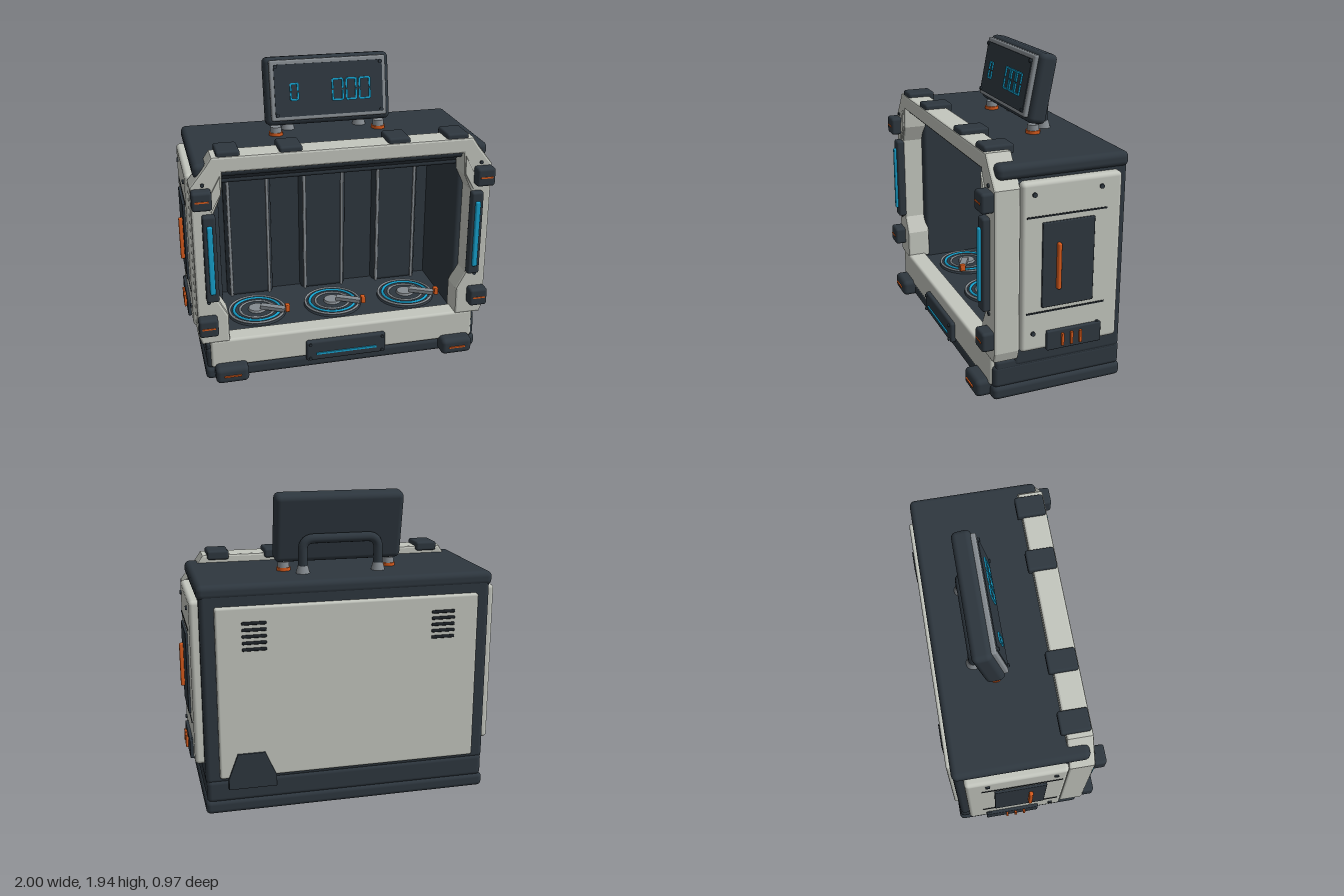
import * as THREE from 'three';
import { RoundedBoxGeometry } from 'three/addons/geometries/RoundedBoxGeometry.js';

const mat = (name, color, extra = {}) => Object.assign(new THREE.MeshStandardMaterial({ color, ...extra }), { name });

export function createModel() {
  const root = new THREE.Group();
  root.name = 'dispenserCabinet';
  const dark = mat('darkCasing', 0x2e373f);
  const light = mat('palePanel', 0xc3c6be);
  const black = mat('blackTrim', 0x1b2025);
  const metal = mat('greyMetal', 0x858b90);
  const teal = mat('tealLight', 0x16a0cc);
  const orange = mat('orangeAccent', 0xd65a1c);

  const add = (name, geo, m, x = 0, y = 0, z = 0, parent = root) => {
    const mesh = new THREE.Mesh(geo, m);
    mesh.name = name;
    mesh.position.set(x, y, z);
    parent.add(mesh);
    return mesh;
  };
  // Box given by its limits; r > 0 rounds the edges
  const span = (name, m, [x0, x1], [y0, y1], [z0, z1], r = 0, parent = root) => {
    const w = x1 - x0, h = y1 - y0, d = z1 - z0;
    const geo = r ? new RoundedBoxGeometry(w, h, d, 3, r) : new THREE.BoxGeometry(w, h, d);
    return add(name, geo, m, (x0 + x1) / 2, (y0 + y1) / 2, (z0 + z1) / 2, parent);
  };
  // Same box on one side: x limits are measured outward from the centre
  const side = (s, name, m, [a, b], y, z, r = 0) => span(name, m, s > 0 ? [a, b] : [-b, -a], y, z, r);
  const shapeOf = pts => new THREE.Shape(pts.map(p => new THREE.Vector2(...p)));
  const plate = (name, pts, depth, bevel, m, z) => add(name, new THREE.ExtrudeGeometry(shapeOf(pts), {
    depth: depth - 2 * bevel, bevelEnabled: bevel > 0, bevelSize: bevel, bevelOffset: -bevel,
    bevelThickness: bevel, bevelSegments: 2,
  }), m, 0, 0, z + bevel);
  // Screw with its head along x or z
  const screw = (x, y, z, axis, parent = root, r = 0.014) => {
    const s = add('screw', new THREE.CylinderGeometry(r, r, 0.016, 12), dark, x, y, z, parent);
    if (axis === 'x') s.rotation.z = Math.PI / 2; else s.rotation.x = Math.PI / 2;
  };

  // Base and hollow casing
  span('basePlinth', dark, [-0.91, 0.91], [0, 0.09], [-0.455, 0.39], 0.03);
  span('baseBody', dark, [-0.9, 0.9], [0.075, 0.225], [-0.45, 0.385], 0.03);
  span('cavityFloor', dark, [-0.9, 0.9], [0.19, 0.255], [-0.44, 0.37], 0.02);
  span('backWall', dark, [-0.905, 0.905], [0.2, 1.42], [-0.445, -0.3], 0.03);
  span('roof', dark, [-0.92, 0.92], [1.36, 1.45], [-0.45, 0.37], 0.035);
  span('ceiling', dark, [-0.9, 0.9], [1.275, 1.4], [-0.44, 0.24], 0.02);
  const visor = add('visor', new THREE.ExtrudeGeometry(
    shapeOf([[-0.2, 1.275], [-0.36, 1.4], [-0.2, 1.41]].reverse()), { depth: 1.56, bevelEnabled: false }), dark, -0.78);
  visor.rotation.y = Math.PI / 2;

  // Pale front frame with chamfered corners
  const half = [[0.81, 1.5], [0.85, 1.44], [0.945, 1.32], [0.945, 0.33], [0.925, 0.27], [0.75, 0.27], [0.75, 0.46],
    [0.81, 0.57], [0.81, 1.15], [0.76, 1.26], [0.75, 1.4]];
  plate('frontFrame', [...half, ...half.map(([x, y]) => [-x, y]).reverse()].reverse(), 0.16, 0.014, light, 0.24);
  span('frontSill', light, [-0.875, 0.875], [0.09, 0.285], [0.27, 0.4], 0.018);

  // Sill badge
  span('sillBadge', dark, [-0.265, 0.265], [0.07, 0.21], [0.39, 0.43], 0.015);
  span('sillBadgeLight', teal, [-0.2, 0.2], [0.115, 0.128], [0.42, 0.438]);
  for (const x of [-0.24, 0.24]) for (const y of [0.09, 0.19]) screw(x, y, 0.432, 'z', root, 0.01);

  // Clips over the top of the frame
  for (const x of [-0.71, -0.335, 0.335, 0.71])
    span('topClip', dark, [x - 0.07, x + 0.07], [1.47, 1.53], [0.21, 0.392], 0.015);

  for (const s of [-1, 1]) {
    // Side wall and pale side panel
    side(s, 'sideWall', dark, [0.765, 0.905], [0.2, 1.4], [-0.445, 0.26], 0.03);
    side(s, 'roofProng', dark, [0.84, 0.915], [1.29, 1.365], [0.2, 0.36], 0.03);
    side(s, 'sidePanel', light, [0.87, 0.96], [0.315, 1.35], [-0.385, 0.24], 0.025);
    side(s, 'sidePlate', dark, [0.95, 0.975], [0.59, 1.11], [-0.21, 0.115], 0.006);
    side(s, 'sideHandleBar', orange, [0.965, 1], [0.7, 0.985], [0.005, 0.03], 0.01);
    for (const y of [0.56, 1.147]) side(s, 'panelSeam', black, [0.955, 0.964], [y - 0.005, y + 0.005], [-0.29, 0.21]);
    side(s, 'sideVentBox', dark, [0.95, 0.98], [0.31, 0.435], [-0.27, 0.082], 0.008);
    for (const z of [-0.13, -0.073, -0.015])
      side(s, 'sideVentBar', orange, [0.97, 0.995], [0.335, 0.412], [z - 0.007, z + 0.007]);
    for (const z of [0.165, -0.25]) for (const y of [0.43, 1.28]) screw(s * 0.962, y, z, 'x');

    // Frame corner gussets, corner blocks and light strips
    plate('cornerGusset', [[0.765, 1.385], [0.765, 1.27], [0.825, 1.16], [0.865, 1.2]]
      .map(([x, y]) => [s * x, y]), 0.014, 0.004, light, 0.395);
    for (const y of [0.415, 1.255]) {
      side(s, 'cornerBlock', dark, [0.823, 0.943], [y - 0.06, y + 0.06], [0.39, 0.472], 0.018);
      side(s, 'cornerBlockMark', orange, [0.843, 0.925], [y - 0.005, y + 0.005], [0.467, 0.475]);
    }
    side(s, 'stripHousing', dark, [0.805, 0.885], [0.58, 1.15], [0.39, 0.445], 0.015);
    side(s, 'stripLight', teal, [0.828, 0.862], [0.64, 1.09], [0.43, 0.462], 0.01);
    for (const y of [0.563, 1.335]) screw(s * 0.87, y, 0.4, 'z', root, 0.012);
    // Front feet
    side(s, 'frontFoot', dark, [0.645, 0.855], [0.01, 0.12], [0.3, 0.478], 0.03);
    side(s, 'frontFootMark', orange, [0.695, 0.805], [0.06, 0.07], [0.472, 0.486]);
  }

  // Three bays: back column, ceiling light and floor pad
  for (const x of [-0.52, 0, 0.52]) {
    span('bayColumn', dark, [x - 0.16, x + 0.16], [0.24, 1.18], [-0.34, -0.24], 0.035);
    for (const dx of [-0.132, 0.132])
      span('columnRail', metal, [x + dx - 0.01, x + dx + 0.01], [0.25, 1.11], [-0.25, -0.228], 0.008);
    span('ceilingLightHousing', black, [x - 0.155, x + 0.155], [1.25, 1.28], [-0.03, 0.03], 0.01);
    span('ceilingLight', teal, [x - 0.13, x + 0.13], [1.243, 1.251], [-0.02, 0.031]);
    const pad = new THREE.Group();
    pad.name = 'bayPad';
    pad.position.set(x, 0.255, 0.03);
    root.add(pad);
    add('padDisc', new THREE.CylinderGeometry(0.18, 0.195, 0.02, 40), dark, 0, 0.01, 0, pad);
    for (const [name, r, t, m] of [['padRim', 0.185, 0.008, metal], ['padLight', 0.155, 0.01, teal], ['padInnerRing', 0.115, 0.008, metal]])
      add(name, new THREE.TorusGeometry(r, t, 8, 40), m, 0, 0.02, 0, pad).rotation.x = Math.PI / 2;
    add('padHub', new THREE.CylinderGeometry(0.055, 0.065, 0.025, 24), metal, 0, 0.022, 0, pad);
    const arm = add('padArm', new THREE.BoxGeometry(0.17, 0.025, 0.045), metal, 0.1, 0.05, 0.06, pad);
    arm.rotation.y = -0.5;
    span('padTab', orange, [0.175, 0.205], [0.035, 0.085], [0.08, 0.12], 0.006, pad);
  }

  // Back panel, vents and lower cover
  span('backPanel', light, [-0.82, 0.82], [0.24, 1.32], [-0.475, -0.42], 0.015);
  for (const x of [-0.59, 0.59]) for (let i = 0; i < 5; i++)
    span('ventSlot', black, [x - 0.075, x + 0.075], [1.05 + i * 0.04, 1.07 + i * 0.04], [-0.484, -0.46], 0.008);
  plate('backCover', [[0.47, 0.17], [0.77, 0.17], [0.77, 0.24], [0.71, 0.4], [0.54, 0.4], [0.47, 0.24]], 0.04, 0.005, dark, -0.487);

  // Tilted display
  const display = new THREE.Group();
  display.name = 'display';
  display.position.set(0, 1.725, -0.14);
  display.rotation.x = -0.19;
  root.add(display);
  span('displayCase', dark, [-0.405, 0.405], [-0.215, 0.215], [-0.06, 0.06], 0.035, display);
  span('displayBezel', metal, [-0.375, 0.375], [-0.185, 0.195], [0.04, 0.085], 0.012, display);
  span('displayScreen', dark, [-0.35, 0.35], [-0.16, 0.168], [0.08, 0.091], 0, display);
  for (const x of [-0.338, 0.338]) for (const y of [-0.148, 0.156]) screw(x, y, 0.092, 'z', display, 0.012);
  // Readout cells drawn with thin bars
  for (const [x, w, h] of [[-0.225, 0.046, 0.1], [0.055, 0.066, 0.13], [0.143, 0.062, 0.13], [0.23, 0.066, 0.13]]) {
    const t = 0.006, z = [0.091, 0.1], y = -0.005;
    for (const k of [-1, 1]) {
      const cx = x + k * w / 2, cy = y + k * h / 2;
      span('readoutBar', teal, [cx - t, cx + t], [y - h / 2, y - 0.004], z, 0, display);
      span('readoutBar', teal, [cx - t, cx + t], [y + 0.004, y + h / 2], z, 0, display);
      span('readoutBar', teal, [x - w / 2, x + w / 2], [cy - t, cy + t], z, 0, display);
    }
  }

  // Display mounts and rear handle feet
  for (const s of [-1, 1]) {
    add('displayMount', new THREE.CylinderGeometry(0.035, 0.04, 0.06, 16), metal, s * 0.34, 1.475, -0.1);
    add('displayMountRing', new THREE.CylinderGeometry(0.045, 0.045, 0.02, 16), orange, s * 0.34, 1.46, -0.1);
    add('handleFoot', new THREE.CylinderGeometry(0.032, 0.045, 0.05, 16), metal, s * 0.24, 1.472, -0.215);
  }
  // Carry handle with rounded corners
  const v = (x, y) => new THREE.Vector3(x, y, -0.215);
  const path = new THREE.CurvePath();
  path.add(new THREE.LineCurve3(v(-0.24, 1.46), v(-0.24, 1.59)));
  path.add(new THREE.QuadraticBezierCurve3(v(-0.24, 1.59), v(-0.24, 1.66), v(-0.17, 1.66)));
  path.add(new THREE.LineCurve3(v(-0.17, 1.66), v(0.17, 1.66)));
  path.add(new THREE.QuadraticBezierCurve3(v(0.17, 1.66), v(0.24, 1.66), v(0.24, 1.59)));
  path.add(new THREE.LineCurve3(v(0.24, 1.59), v(0.24, 1.46)));
  add('carryHandle', new THREE.TubeGeometry(path, 60, 0.03, 12), dark);
  return root;
}
